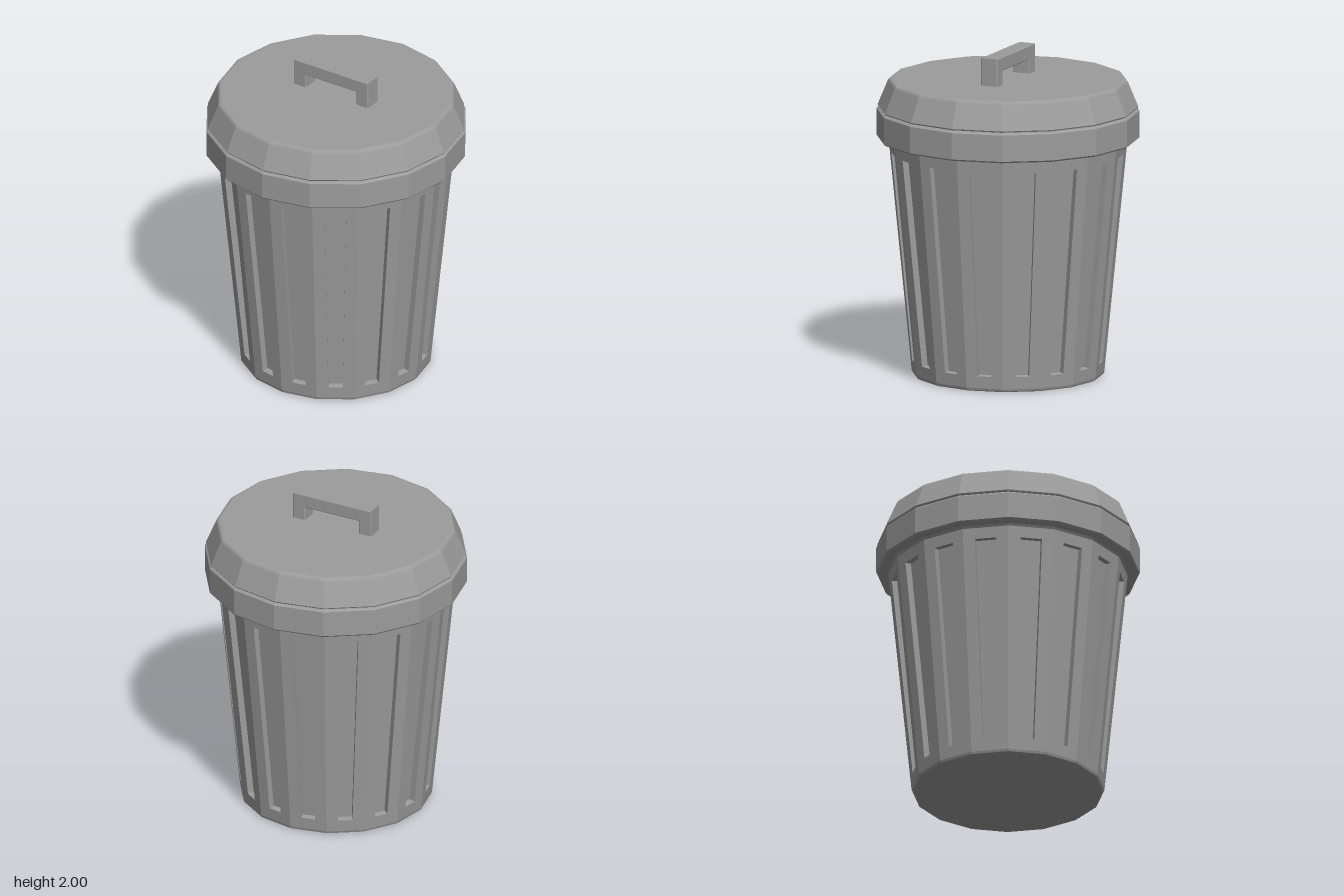
import * as THREE from 'three';

const SIDES = 16;
const HALF = Math.PI / SIDES;
const grey = new THREE.MeshStandardMaterial({ color: 0x9c9c9c, flatShading: true });
grey.name = 'galvanised grey';

function part(name, geometry) {
  const mesh = new THREE.Mesh(geometry, grey);
  mesh.name = name;
  return mesh;
}

// Sixteen-sided turned part from [radius, height] pairs, listed bottom to top
function turned(name, profile) {
  return part(name, new THREE.LatheGeometry(profile.map(([r, y]) => new THREE.Vector2(r, y)), SIDES));
}

// Tapered wall of the bin
const Y0 = 0.02, Y1 = 1.45, R0 = 0.586, R1 = 0.726;
const radiusAt = (y) => R0 + (R1 - R0) * (y - Y0) / (Y1 - Y0);
const apothemAt = (y) => radiusAt(y) * Math.cos(HALF);

// One flat side of the wall with a sunken tapered panel, facing +z
function staveGeometry() {
  const corners = (w0, y0, w1, y1) => [
    [-w0, y0, apothemAt(y0)], [w0, y0, apothemAt(y0)],
    [w1, y1, apothemAt(y1)], [-w1, y1, apothemAt(y1)],
  ];
  const edge = (y) => radiusAt(y) * Math.sin(HALF);
  const outer = corners(edge(Y0), Y0, edge(Y1), Y1);
  const opening = corners(0.044, 0.095, 0.067, 1.38);
  const depth = 0.04;
  const slope = (apothemAt(Y1) - apothemAt(Y0)) / (Y1 - Y0);
  const sunk = opening.map(([x, y, z]) => [x, y + depth * slope, z - depth]);

  const positions = [];
  const quad = (a, b, c, d) => positions.push(...a, ...b, ...c, ...a, ...c, ...d);
  for (const [from, to] of [[outer, opening], [opening, sunk]]) {
    for (let i = 0; i < 4; i++) {
      const j = (i + 1) % 4;
      quad(from[i], from[j], to[j], to[i]);
    }
  }
  quad(...sunk);
  const geometry = new THREE.BufferGeometry();
  geometry.setAttribute('position', new THREE.Float32BufferAttribute(positions, 3));
  geometry.computeVertexNormals();
  return geometry;
}

export function createModel() {
  const model = new THREE.Group();
  model.name = 'dustbin';

  // Wall made of repeated staves
  const wall = new THREE.Group();
  wall.name = 'wall';
  const stave = staveGeometry();
  for (let i = 0; i < SIDES; i++) {
    const mesh = part('stave', stave);
    mesh.rotation.y = (2 * i + 1) * HALF;
    wall.add(mesh);
  }
  model.add(wall);

  // Base with a small bevel
  model.add(turned('base', [[0, 0], [0.57, 0], [0.581, 0.006], [R0, Y0]]));

  // Collar around the mouth, overhanging the wall
  model.add(turned('rim', [
    [R1, Y1], [0.735, 1.463], [0.79, 1.463], [0.8, 1.473],
    [0.8, 1.636], [0.79, 1.646], [0.77, 1.648],
  ]));

  // Sloped lid with a softened top edge and a thin gap below it
  model.add(turned('lid', [
    [0.77, 1.648], [0.775, 1.652], [0.788, 1.652], [0.793, 1.66],
    [0.73, 1.812], [0.722, 1.823], [0.708, 1.828], [0, 1.828],
  ]));

  // Square-cornered lid handle
  const outline = new THREE.Shape([
    [-0.27, 1.82], [-0.185, 1.82], [-0.185, 1.914], [0.185, 1.914],
    [0.185, 1.82], [0.27, 1.82], [0.27, 2], [-0.27, 2],
  ].map(([x, y]) => new THREE.Vector2(x, y)));
  const bevel = 0.005, width = 0.108;
  const handle = new THREE.ExtrudeGeometry(outline, {
    depth: width - 2 * bevel, bevelEnabled: true, bevelSegments: 1,
    bevelThickness: bevel, bevelSize: bevel, bevelOffset: -bevel,
  });
  handle.translate(0, 0, bevel - width / 2);
  model.add(part('handle', handle));

  return model;
}
